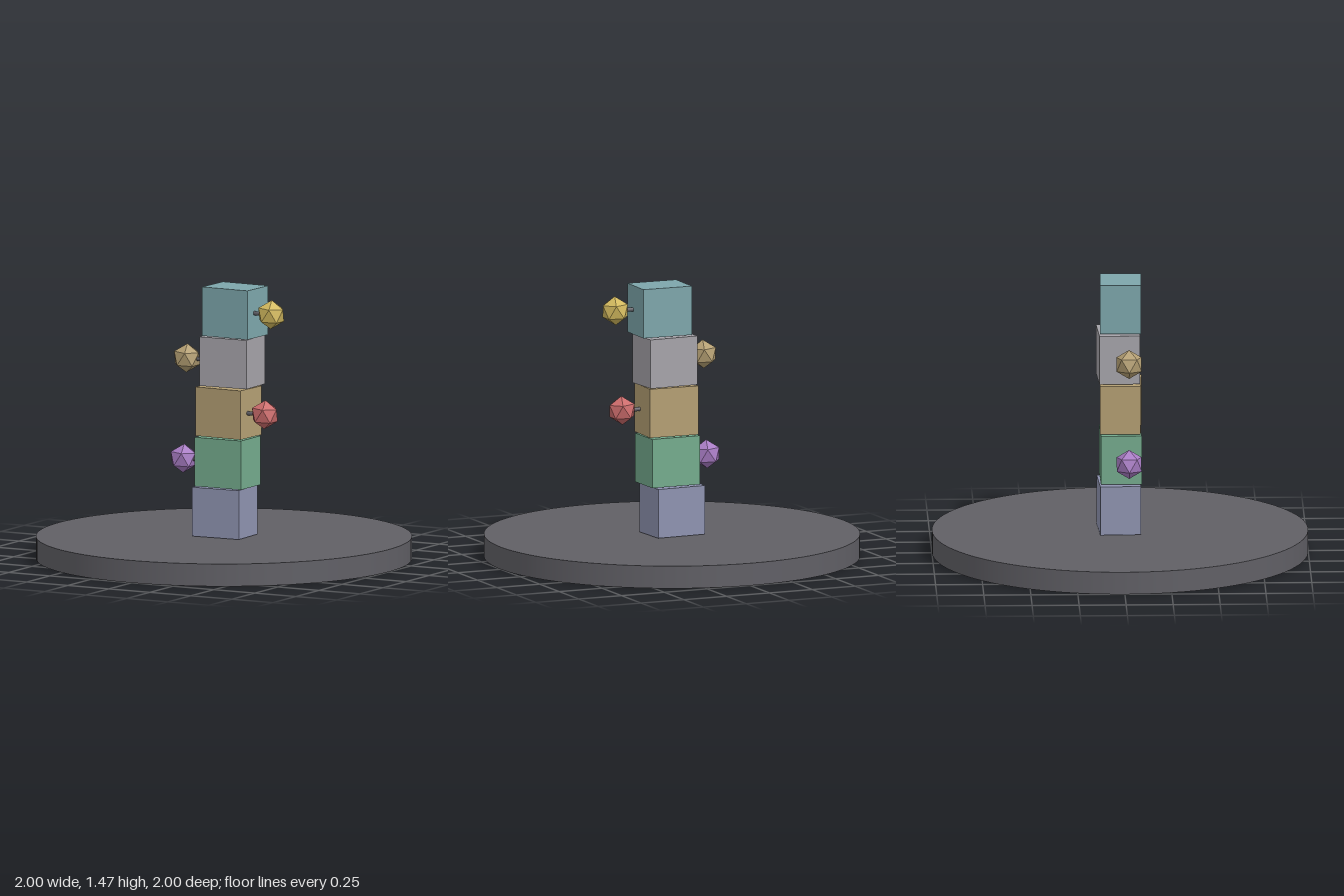
import * as THREE from 'three';

const paint = (name, hex) => {
  const m = new THREE.MeshStandardMaterial({ color: hex });
  m.name = name;
  return m;
};

export function createModel() {
  const model = new THREE.Group();
  model.name = 'blockTower';

  const charcoal = paint('charcoal', 0x605f65);
  const slateBlue = paint('slateBlue', 0x8e93b0);
  const green = paint('green', 0x74ab8d);
  const tan = paint('tan', 0xb49f73);
  const grey = paint('grey', 0xa5a3a9);
  const teal = paint('teal', 0x7da6ab);
  const purple = paint('purple', 0xa87cc4);
  const red = paint('red', 0xcc6c6c);
  const yellow = paint('yellow', 0xd2b95e);

  const add = (name, geometry, material, x, y, z) => {
    const mesh = new THREE.Mesh(geometry, material);
    mesh.name = name;
    mesh.position.set(x, y, z);
    model.add(mesh);
    return mesh;
  };

  // Round base
  add('base', new THREE.CylinderGeometry(1, 1, 0.12, 96), charcoal, 0, 0.06, 0);

  // Slightly twisted blocks, drifting to one side as they rise:
  // material, x, z, twist, then ball material and ball x
  const blocks = [
    [slateBlue, 0, -0.006, 0.045],
    [green, 0.024, 0.003, 0.008, purple, -0.222],
    [tan, 0.03, 0.004, -0.04, red, 0.273],
    [grey, 0.045, -0.009, 0.042, tan, -0.202],
    [teal, 0.07, 0.004, -0.025, yellow, 0.312],
  ];
  const blockGeometry = new THREE.BoxGeometry(0.28, 0.263, 0.217);
  // Twenty-sided ball standing on a corner
  const ballGeometry = new THREE.IcosahedronGeometry(0.078, 0).rotateZ(-0.6);
  const ballZ = 0.043;

  blocks.forEach(([material, x, z, twist, ballMaterial, ballX], i) => {
    const y = 0.255 + i * 0.2703;
    add('block' + (i + 1), blockGeometry, material, x, y, z).rotation.y = twist;
    if (!ballMaterial) return;

    // Thin peg from the block's side into the ball
    const from = x + Math.sign(ballX) * 0.12;
    const peg = new THREE.CylinderGeometry(0.011, 0.011, Math.abs(ballX - from), 12).rotateZ(Math.PI / 2);
    add('peg' + i, peg, charcoal, (from + ballX) / 2, y + 0.002, ballZ);
    add('ball' + i, ballGeometry, ballMaterial, ballX, y + 0.002, ballZ);
  });

  return model;
}
